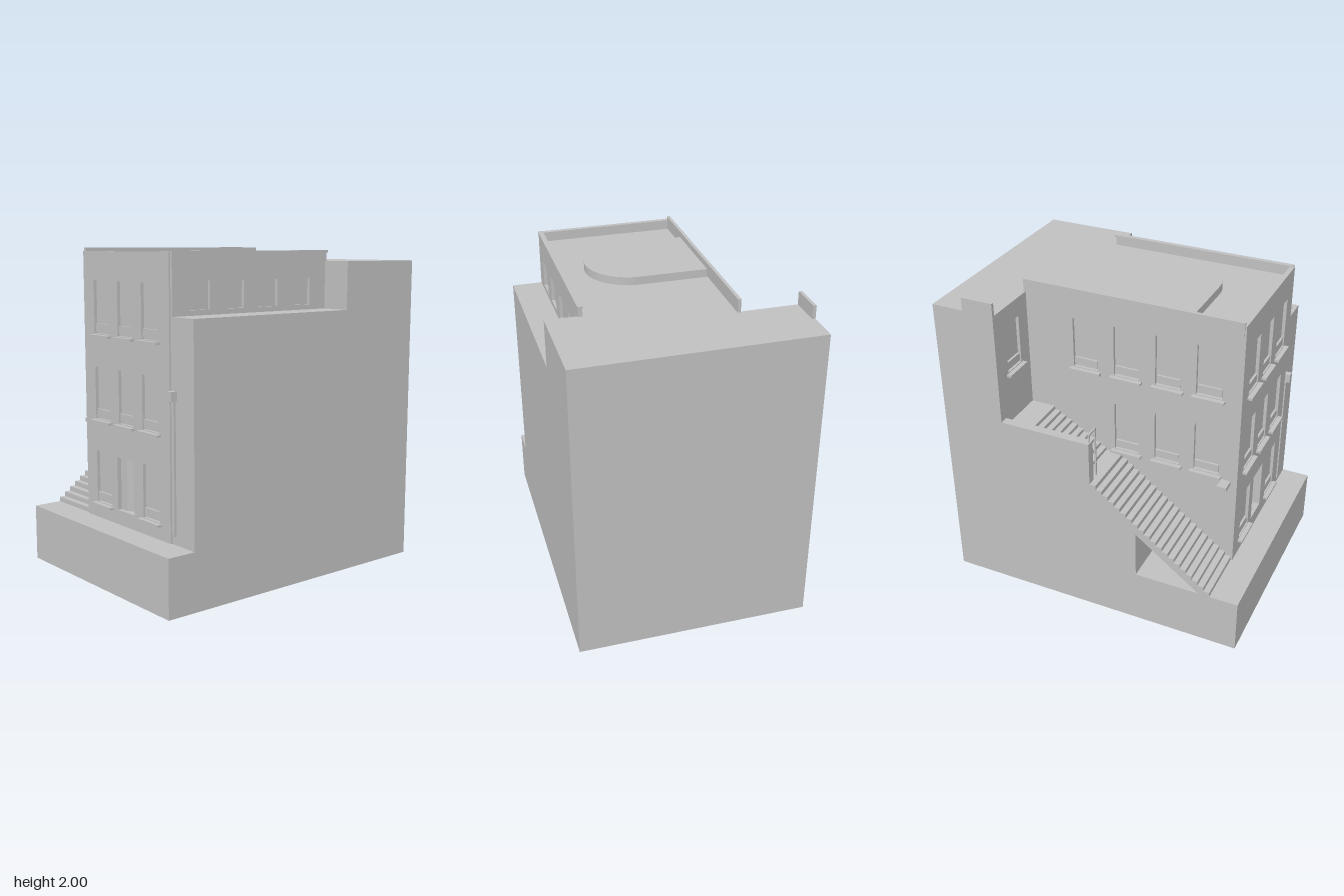
import * as THREE from 'three';

const plaster = new THREE.MeshStandardMaterial({ color: 0xc0c0c0 });
plaster.name = 'plaster';

function add(parent, name, geometry) {
  const mesh = new THREE.Mesh(geometry, plaster);
  mesh.name = name;
  parent.add(mesh);
  return mesh;
}

// Box given by its limits on each axis
function box(parent, name, x0, x1, y0, y1, z0, z1) {
  const g = new THREE.BoxGeometry(x1 - x0, y1 - y0, z1 - z0);
  g.translate((x0 + x1) / 2, (y0 + y1) / 2, (z0 + z1) / 2);
  return add(parent, name, g);
}

const extrude = (shape, depth) =>
  new THREE.ExtrudeGeometry(shape, { depth, bevelEnabled: false, curveSegments: 24 });

const polygon = pts => new THREE.Shape(pts.map(p => new THREE.Vector2(p[0], p[1])));

const rect = (x0, x1, y0, y1) => [[x0, y0], [x1, y0], [x1, y1], [x0, y1]];

// Extrude an (x, z) outline upwards from y0 to y1
function prism(parent, name, pts, y0, y1) {
  const g = extrude(polygon(pts.map(([x, z]) => [x, -z])), y1 - y0);
  g.rotateX(-Math.PI / 2);
  g.translate(0, y0, 0);
  return add(parent, name, g);
}

// Wall slab with its outer face on local z = 0, pierced by openings
function facade(parent, name, limits, thick, windows, doors = []) {
  const group = new THREE.Group();
  group.name = name;
  parent.add(group);
  const shape = polygon(rect(...limits));
  for (const o of [...windows, ...doors]) {
    shape.holes.push(new THREE.Path(
      rect(o.x0, o.x1, o.y0, o.y1).map(p => new THREE.Vector2(p[0], p[1]))));
  }
  const g = extrude(shape, thick);
  g.translate(0, 0, -thick);
  add(group, name + 'Wall', g);
  for (const w of windows) {
    box(group, 'windowPane', w.x0, w.x1, w.y0, w.y1, -thick - 0.005, -0.02);
    if (w.plain) continue;
    box(group, 'windowPanel', w.x0 + 0.005, w.x1 - 0.005, w.y0 + 0.01, w.y0 + 0.06, -0.02, -0.006);
    box(group, 'windowSill', w.x0 - 0.02, w.x1 + 0.02, w.y0 - 0.02, w.y0 - 0.005, -0.02, 0.03);
  }
  return group;
}

const win = (cx, y0, w = 0.16, h = 0.32) => ({ x0: cx - w / 2, x1: cx + w / 2, y0, y1: y0 + h });

// Stair side profile in (z, y), climbing towards -z
function stairSteps(z, y, run, rise, count) {
  const pts = [];
  for (let i = 0; i < count; i++) {
    pts.push([z - i * run, y + (i + 1) * rise], [z - (i + 1) * run, y + (i + 1) * rise]);
  }
  return pts;
}

function sideProfile(parent, name, pts, x0, x1) {
  const g = extrude(polygon(pts), x1 - x0);
  g.rotateY(-Math.PI / 2);
  g.translate(x1, 0, 0);
  return add(parent, name, g);
}

export function createModel() {
  const model = new THREE.Group();
  model.name = 'townHouse';

  // Ground and surrounding blocks
  box(model, 'base', -0.72, 0.72, 0, 0.35, -0.97, 0.97);
  box(model, 'backBlock', -0.35, 0.72, 0.35, 1.92, -0.97, -0.38);
  box(model, 'backLeftBlock', -0.72, -0.35, 0.35, 1.92, -0.97, -0.6);
  box(model, 'neighbourBlock', 0.5, 0.72, 0.35, 1.63, -0.38, 0.79);

  // Building core with an angled entrance niche
  prism(model, 'core', [
    [-0.32, -0.5], [0.505, -0.5], [0.505, 0.77], [0.155, 0.77], [0.155, 0.67],
    [0.05, 0.775], [-0.015, 0.775], [-0.015, 0.77], [-0.32, 0.77],
  ], 0.35, 1.92);
  const niche = [[0.05, 0.77], [0.155, 0.665], [0.155, 0.772], [0.05, 0.772]];
  prism(model, 'entranceFloor', niche, 0.35, 0.44);
  prism(model, 'entranceCeiling', niche, 0.765, 1.92);

  // Front facade
  const front = [];
  for (const y of [0.45, 0.97, 1.49]) {
    for (const x of [-0.16, 0.083, 0.33]) {
      if (y > 0.5 || Math.abs(x) > 0.1) front.push(win(x, y, x === 0.083 ? 0.145 : 0.16));
    }
  }
  facade(model, 'frontFacade', [-0.35, 0.515, 0.35, 1.98], 0.03, front,
    [{ x0: -0.015, x1: 0.155, y0: 0.44, y1: 0.765 }]).position.z = 0.8;

  // Courtyard facade
  const left = [-0.185, 0.08, 0.345, 0.6].map(z => win(z, 1.49));
  for (const z of [0.08, 0.345, 0.6]) left.push(win(z, 0.97));
  const leftWall = facade(model, 'courtyardFacade', [-0.57, 0.77, 0.35, 1.92], 0.03, left);
  leftWall.rotation.y = -Math.PI / 2;
  leftWall.position.x = -0.35;

  // Upper right wall over the neighbour roof
  const right = [0.6, 0.35, 0.09, -0.175].map(z => ({ ...win(-z, 1.66, 0.15, 0.16), plain: true }));
  const rightWall = facade(model, 'rightFacade', [-0.79, 0.39, 1.63, 1.98], 0.025, right);
  rightWall.rotation.y = Math.PI / 2;
  rightWall.position.x = 0.53;

  // Back wall of the courtyard
  facade(model, 'courtyardBack', [-0.72, -0.35, 0.35, 1.92], 0.03,
    [win(-0.525, 1.5, 0.15, 0.305)]).position.z = -0.57;

  // Roof edges and raised roof platform
  box(model, 'leftParapet', -0.355, -0.335, 1.92, 2, -0.58, 0.79);
  box(model, 'rightParapetCap', 0.502, 0.534, 1.972, 1.985, -0.4, 0.79);
  box(model, 'cornerParapet', -0.72, -0.7, 1.92, 2, -0.77, -0.57);
  const deck = new THREE.Shape();
  deck.moveTo(-0.33, -0.48);
  deck.lineTo(0.085, -0.48);
  deck.absarc(0.085, -0.21, 0.27, -Math.PI / 2, Math.PI / 2, false);
  deck.lineTo(-0.33, 0.06);
  const deckGeometry = extrude(deck, 0.05);
  deckGeometry.rotateX(-Math.PI / 2);
  deckGeometry.translate(0, 1.92, 0);
  add(model, 'roofPlatform', deckGeometry);

  // Lower stairs with the open space beneath
  sideProfile(model, 'lowerStairs', [
    [0.01, 0.35], [0.31, 0.35], [0.31, 0.66], [0.72, 0.35], [0.79, 0.35],
    ...stairSteps(0.79, 0.35, 0.039, 0.0295, 20),
  ], -0.72, -0.35);

  // Landing, upper stairs and side walls
  box(model, 'landing', -0.72, -0.35, 0.35, 0.94, -0.57, 0.01);
  sideProfile(model, 'upperStairs', [
    [-0.57, 0.94], [-0.06, 0.94],
    ...stairSteps(-0.06, 0.94, 0.039, 0.023, 10), [-0.57, 1.17],
  ], -0.64, -0.35);
  box(model, 'boundaryWall', -0.72, -0.665, 0.94, 1.22, -0.57, 0.01);
  box(model, 'stairCurb', -0.665, -0.64, 0.94, 1.08, -0.57, -0.06);

  // Railing on the landing
  const rail = new THREE.Group();
  rail.name = 'railing';
  model.add(rail);
  box(rail, 'railPost', -0.62, -0.61, 0.94, 1.27, -0.005, 0.005);
  box(rail, 'railTop', -0.695, -0.61, 1.265, 1.275, -0.005, 0.005);
  box(rail, 'railEnd', -0.695, -0.685, 1.22, 1.27, -0.005, 0.005);

  // Drain pipe and wall boxes
  box(model, 'drainPipe', 0.535, 0.555, 0.4, 1.18, 0.79, 0.803);
  box(model, 'drainHead', 0.525, 0.567, 1.17, 1.225, 0.79, 0.83);
  box(model, 'wallLedge', -0.43, -0.345, 0.92, 0.945, 0.7, 0.76);

  return model;
}
